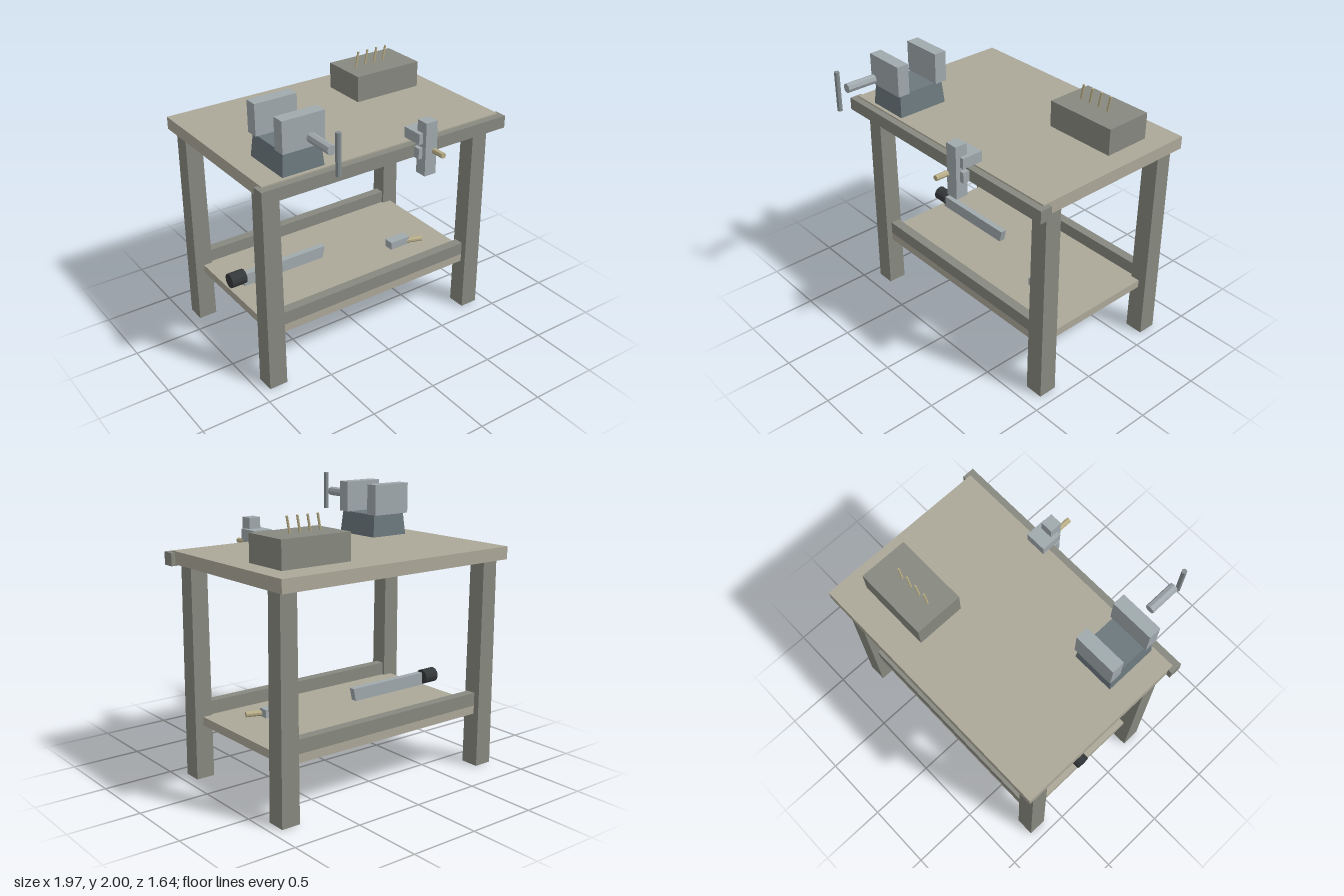
import * as THREE from 'three';

const mat = (color) => new THREE.MeshStandardMaterial({ color, flatShading: true });

export function createModel() {
  const group = new THREE.Group();
  const wood = mat(0xaca899), frame = mat(0x87887f), steel = mat(0xa0a9ad);
  const iron = mat(0x6b787d), rod = mat(0x868e91), brass = mat(0xb9ae88), dark = mat(0x35383a);

  const add = (name, geometry, material) => {
    const mesh = new THREE.Mesh(geometry, material);
    mesh.name = name;
    group.add(mesh);
    return mesh;
  };

  // Box given by its limits on each axis; taper = inset of the top on x and z
  const block = (name, material, [x0, x1], [y0, y1], [z0, z1], taperX = 0, taperZ = 0) => {
    const w = x1 - x0, h = y1 - y0, d = z1 - z0;
    const geometry = new THREE.BoxGeometry(w, h, d);
    const p = geometry.attributes.position;
    for (let i = 0; i < p.count; i++) {
      if (p.getY(i) > 0) {
        p.setX(i, p.getX(i) - Math.sign(p.getX(i)) * taperX);
        p.setZ(i, p.getZ(i) - Math.sign(p.getZ(i)) * taperZ);
      }
    }
    geometry.computeVertexNormals();
    const mesh = add(name, geometry, material);
    mesh.position.set((x0 + x1) / 2, (y0 + y1) / 2, (z0 + z1) / 2);
    return mesh;
  };

  // Round bar between two points
  const bar = (name, material, from, to, radius, sides = 8) => {
    const a = new THREE.Vector3(...from), b = new THREE.Vector3(...to);
    const dir = b.clone().sub(a);
    const mesh = add(name, new THREE.CylinderGeometry(radius, radius, dir.length(), sides), material);
    mesh.position.copy(a).add(b).multiplyScalar(0.5);
    mesh.quaternion.setFromUnitVectors(new THREE.Vector3(0, 1, 0), dir.normalize());
    return mesh;
  };

  // Bench top and its front edge board
  block('benchTop', wood, [-0.955, 0.95], [1.5, 1.59], [-0.82, 0.445]);
  block('frontEdgeBoard', frame, [-0.985, 0.98], [1.49, 1.58], [0.405, 0.495]);

  // Legs, slightly narrower at the top
  for (const x of [-0.859, 0.855])
    for (const z of [-0.692, 0.323])
      block('leg', frame, [x - 0.068, x + 0.068], [0, 1.5], [z - 0.068, z + 0.068], 0.006, 0.006);

  // Lower shelf with a rail along front and back
  block('shelf', wood, [-0.86, 0.86], [0.385, 0.445], [-0.715, 0.345]);
  block('frontRail', frame, [-0.83, 0.83], [0.445, 0.54], [0.275, 0.345]);
  block('backRail', frame, [-0.83, 0.83], [0.445, 0.54], [-0.715, -0.645]);

  // Bench vise
  block('viseBase', iron, [-0.79, -0.48], [1.59, 1.75], [0.04, 0.42], 0.016, 0.012);
  block('viseFrontJaw', steel, [-0.79, -0.48], [1.75, 1.97], [0.341, 0.431]);
  block('viseBackJaw', steel, [-0.79, -0.48], [1.75, 1.97], [0.022, 0.114]);
  bar('viseScrew', steel, [-0.638, 1.86, 0.515], [-0.638, 1.86, 0.735], 0.033);
  bar('viseHandle', rod, [-0.638, 1.72, 0.8], [-0.638, 2, 0.8], 0.018);

  // Tool block with leaning pegs
  block('toolBlock', frame, [0.27, 0.805], [1.59, 1.78], [-0.615, -0.267]);
  for (let i = 0; i < 4; i++) {
    const x = 0.375 + i * 0.08;
    bar('toolPeg', brass, [x, 1.77, -0.44], [x + 0.022, 1.89, -0.44], 0.008, 6);
  }

  // Clamp gripping the front edge
  block('clampBar', steel, [0.205, 0.297], [1.37, 1.75], [0.487, 0.577]);
  block('clampUpperJaw', steel, [0.175, 0.328], [1.595, 1.67], [0.39, 0.545]);
  block('clampLowerJaw', steel, [0.175, 0.328], [1.49, 1.567], [0.39, 0.545]);
  bar('clampScrew', brass, [0.25, 1.56, 0.61], [0.25, 1.56, 0.705], 0.02);

  // Long blade with a slanted tip, and its grip, above the shelf
  const profile = new THREE.Shape([
    new THREE.Vector2(-0.78, 0.483), new THREE.Vector2(-0.12, 0.483),
    new THREE.Vector2(-0.1, 0.575), new THREE.Vector2(-0.78, 0.575),
  ]);
  add('blade', new THREE.ExtrudeGeometry(profile, { depth: 0.045, bevelEnabled: false }), steel)
    .position.z = -0.207;
  bar('bladeGrip', dark, [-0.88, 0.543, -0.2], [-0.763, 0.543, -0.2], 0.054, 12);

  // Small mallet head and handle
  block('malletHead', steel, [0.385, 0.555], [0.457, 0.515], [-0.062, 0.012]);
  bar('malletHandle', brass, [0.54, 0.48, -0.003], [0.655, 0.48, 0.036], 0.02);

  return group;
}
